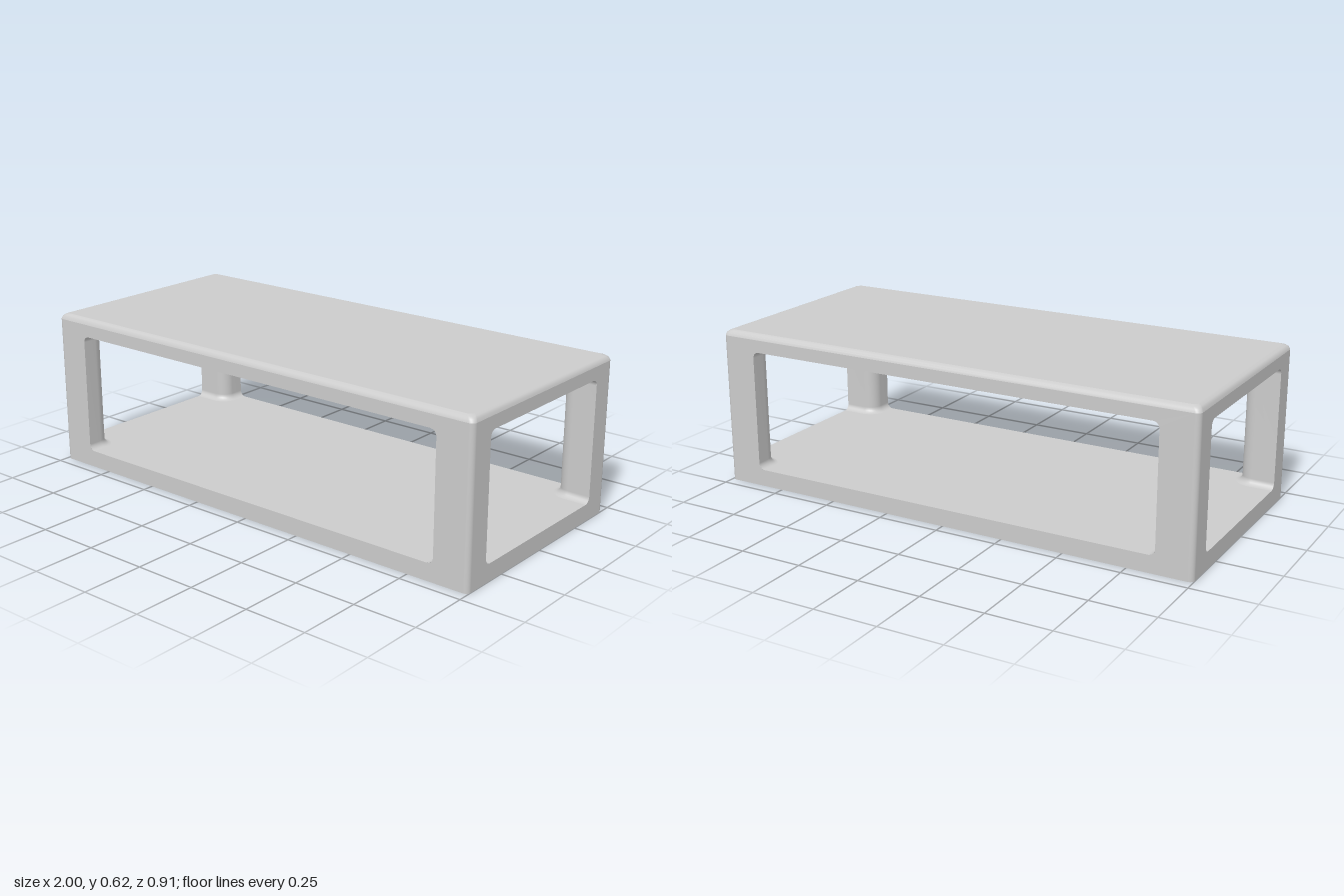
import * as THREE from 'three';

const W = 1.0, D = 0.456, H = 0.625;        // half width, half depth, height
const OX = 0.857, OZ = 0.35;                // half widths of the openings
const Y0 = 0.068, Y1 = 0.553;               // floor and ceiling of the openings
const FILLET = 0.025, CORNER = 0.02, POST_R = 0.05;
const material = new THREE.MeshStandardMaterial({ color: 0xcccccc, side: THREE.DoubleSide });

// Rows of points joined into one smooth sheet
function loft(rows) {
  const n = rows[0].length, index = [];
  for (let j = 0; j < rows.length - 1; j++) {
    for (let i = 0; i < n - 1; i++) {
      const a = j * n + i, b = a + n;
      index.push(a, a + 1, b, a + 1, b + 1, b);
    }
  }
  const g = new THREE.BufferGeometry().setFromPoints(rows.flat());
  g.setIndex(index);
  g.computeVertexNormals();
  return g;
}

function roundRect(path, x, y0, y1, r) {
  path.moveTo(-x + r, y0);
  path.lineTo(x - r, y0);
  path.absarc(x - r, y0 + r, r, -Math.PI / 2, 0);
  path.lineTo(x, y1 - r);
  path.absarc(x - r, y1 - r, r, 0, Math.PI / 2);
  path.lineTo(-x + r, y1);
  path.absarc(-x + r, y1 - r, r, Math.PI / 2, Math.PI);
  path.lineTo(-x, y0 + r);
  path.absarc(-x + r, y0 + r, r, Math.PI, Math.PI * 1.5);
  return path;
}

// Plan of a post's inner side in the +x +z quarter, swollen by o
function postPath(o) {
  const pts = [[OX - o, D]];
  for (let i = 0; i <= 8; i++) {
    const a = Math.PI + (i / 8) * Math.PI / 2;
    pts.push([OX + POST_R + Math.cos(a) * (POST_R + o), OZ + POST_R + Math.sin(a) * (POST_R + o)]);
  }
  pts.push([W, OZ - o]);
  return pts;
}

export function createModel() {
  const model = new THREE.Group();
  const add = (name, geometry) => {
    const mesh = new THREE.Mesh(geometry, material);
    mesh.name = name;
    model.add(mesh);
    return mesh;
  };

  // Four outer walls, each with a rounded opening
  const wall = (name, half, opening, dist, turn) => {
    const e = half - CORNER, top = H - 0.022;
    const shape = new THREE.Shape([[-e, 0], [e, 0], [e, top], [-e, top]].map(p => new THREE.Vector2(...p)));
    shape.holes.push(roundRect(new THREE.Path(), opening, Y0, Y1, FILLET));
    const g = new THREE.ShapeGeometry(shape, 6);
    g.translate(0, 0, dist).rotateY(turn);
    add(name, g);
  };
  wall('frontWall', W, OX, D, 0);
  wall('backWall', W, OX, D, Math.PI);
  wall('leftWall', D, OZ, W, Math.PI / 2);
  wall('rightWall', D, OZ, W, -Math.PI / 2);

  // Rounded vertical edges between the walls
  [[1, 1], [1, -1], [-1, -1], [-1, 1]].forEach(([sx, sz], i) => {
    const h = H - 0.022;
    const g = new THREE.CylinderGeometry(CORNER, CORNER, h, 6, 1, true, i * Math.PI / 2, Math.PI / 2);
    g.translate(sx * (W - CORNER), h / 2, sz * (D - CORNER));
    add('cornerEdge', g);
  });

  // Softened rim running up to the flat top
  const outline = inset => roundRect(new THREE.Shape(), W - inset, -D + inset, D - inset, CORNER);
  const rim = [[0, H - 0.022], [0.004, H - 0.011], [0.012, H - 0.004], [0.024, H]];
  add('topRim', loft(rim.map(([inset, y]) => {
    const pts = outline(inset).getPoints(6).map(p => new THREE.Vector3(p.x, y, -p.y));
    return [...pts, pts[0].clone()];
  })));
  const top = new THREE.ShapeGeometry(outline(0.024), 6);
  top.rotateX(-Math.PI / 2).translate(0, H, 0);
  add('top', top);

  // Inner sides of the hollow posts, flaring into floor and ceiling
  const levels = [];
  for (let i = 0; i <= 5; i++) {
    const a = (i / 5) * Math.PI / 2;
    levels.push([FILLET * (1 - Math.sin(a)), Y0 + FILLET * (1 - Math.cos(a))]);
  }
  levels.push(...levels.slice().reverse().map(([o, y]) => [o, Y0 + Y1 - y]));
  for (const sx of [1, -1]) {
    for (const sz of [1, -1]) {
      const rows = levels.map(([o, y]) => {
        const row = postPath(o).map(([x, z]) => new THREE.Vector3(sx * x, y, sz * z));
        return sx * sz > 0 ? row : row.reverse();
      });
      add('postInner', loft(rows.reverse()));
    }
  }

  // Floor and ceiling sheets, cut around the posts; the underside is open
  const q = postPath(FILLET), r = q.slice().reverse();
  const plan = [
    ...q, ...r.map(([x, z]) => [x, -z]),
    ...q.map(([x, z]) => [-x, -z]), ...r.map(([x, z]) => [-x, z]),
  ].map(p => new THREE.Vector2(...p));
  for (const [name, y, turn] of [['floor', Y0, -1], ['ceiling', Y1, 1]]) {
    const g = new THREE.ShapeGeometry(new THREE.Shape(plan));
    g.rotateX(turn * Math.PI / 2).translate(0, y, 0);
    add(name, g);
  }
  return model;
}
